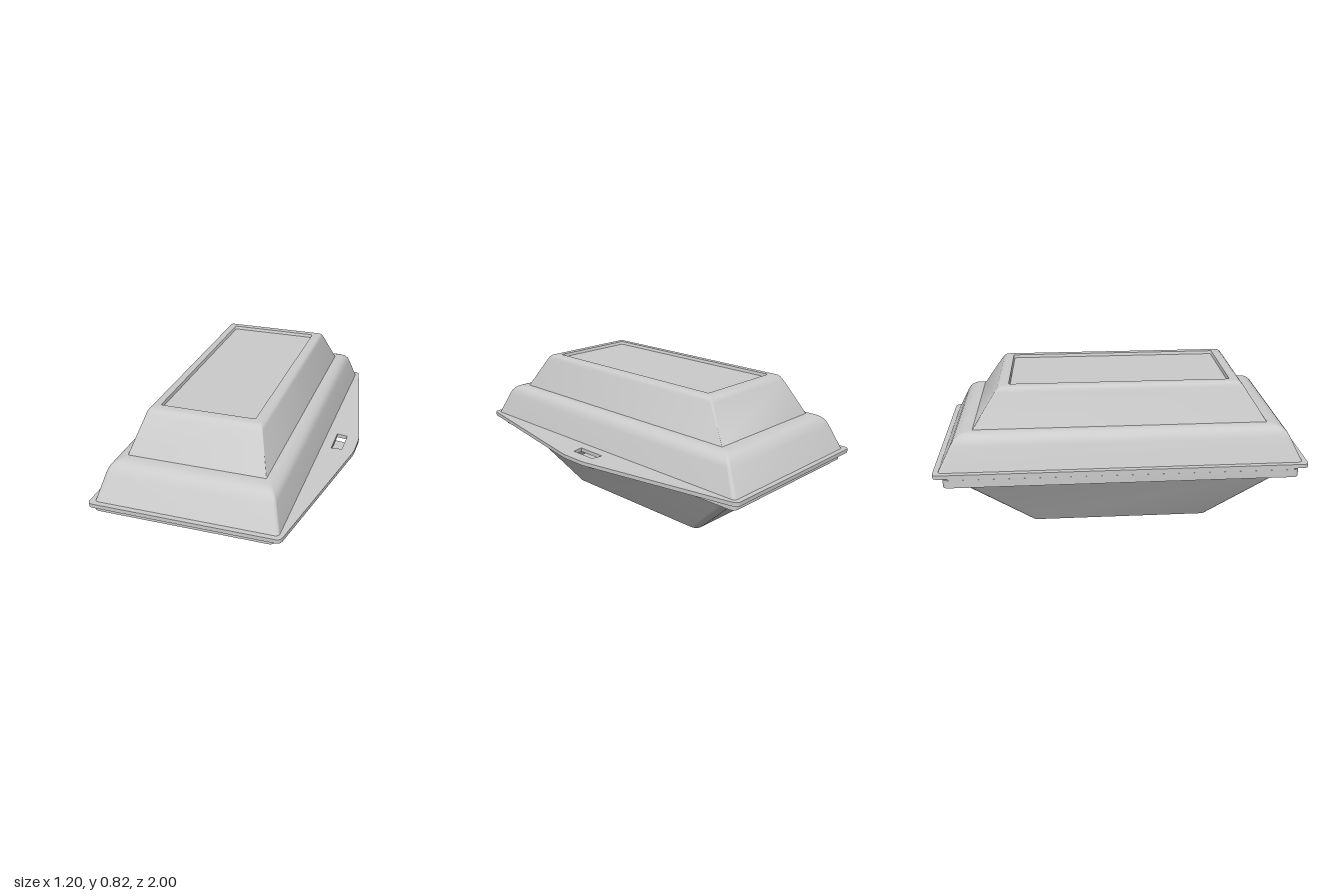
import * as THREE from 'three';
import { toCreasedNormals } from 'three/addons/utils/BufferGeometryUtils.js';

const material = new THREE.MeshStandardMaterial({ color: 0xcccccc, side: THREE.DoubleSide });

// One rounded-rectangle ring of points, counter-clockwise seen from above
function ring([y, x0, x1, hz, r], steps = 6) {
  const pts = [];
  const corners = [[x1 - r, -hz + r], [x0 + r, -hz + r], [x0 + r, hz - r], [x1 - r, hz - r]];
  corners.forEach(([cx, cz], c) => {
    for (let i = 0; i <= steps; i++) {
      const a = (c + i / steps) * Math.PI / 2;
      pts.push([cx + r * Math.cos(a), y, cz - r * Math.sin(a)]);
    }
  });
  return pts;
}

// Closed skin over sections [y, xMin, xMax, halfDepth, cornerRadius], bottom to top
function loft(sections) {
  const rings = sections.map(s => ring(s));
  const n = rings[0].length;
  const index = [];
  rings.slice(1).forEach((_, k) => {
    for (let i = 0; i < n; i++) {
      const j = (i + 1) % n, a = k * n, b = a + n;
      index.push(a + i, a + j, b + j, a + i, b + j, b + i);
    }
  });
  const last = (rings.length - 1) * n;
  for (let i = 1; i < n - 1; i++) {
    index.push(0, i + 1, i, last, last + i, last + i + 1);
  }
  const geo = new THREE.BufferGeometry();
  geo.setAttribute('position', new THREE.Float32BufferAttribute(rings.flat(2), 3));
  geo.setIndex(index);
  return toCreasedNormals(geo, 0.6);
}

function add(parent, name, geo) {
  const mesh = new THREE.Mesh(geo, material);
  mesh.name = name;
  parent.add(mesh);
  return mesh;
}

export function createModel() {
  const model = new THREE.Group();
  model.name = 'takeawayBox';

  // Tapered tray
  add(model, 'tray', loft([
    [0, -0.355, 0.14, 0.51, 0.04],
    [0.35, -0.543, 0.327, 0.897, 0.05],
  ]));
  add(model, 'trayRim', loft([
    [0.345, -0.598, 0.38, 0.95, 0.03],
    [0.39, -0.598, 0.38, 0.95, 0.03],
  ]));

  // Locking tab, narrowing slightly toward its tip
  const tab = new THREE.BoxGeometry(0.16, 0.04, 0.17);
  const p = tab.attributes.position;
  for (let i = 0; i < p.count; i++) {
    if (p.getX(i) > 0) {
      p.setZ(i, p.getZ(i) * 0.82);
      p.setY(i, p.getY(i) * 0.8);
    }
  }
  tab.computeVertexNormals();
  add(model, 'lockingTab', tab).position.set(0.437, 0.366, 0);

  // Hinge strip joining tray and lid
  add(model, 'hinge', new THREE.BoxGeometry(0.015, 0.03, 1.84)).position.set(-0.59, 0.395, 0);

  // Lid flange with pointed ear and slot
  const flange = new THREE.Shape();
  const r = 0.03;
  flange.moveTo(-0.6 + r, -1);
  flange.lineTo(0.43 - r, -1);
  flange.quadraticCurveTo(0.425, -1, 0.43, -0.965);
  flange.lineTo(0.592, -0.11);
  flange.quadraticCurveTo(0.598, -0.08, 0.598, -0.05);
  flange.lineTo(0.598, 0.05);
  flange.quadraticCurveTo(0.598, 0.08, 0.592, 0.11);
  flange.lineTo(0.43, 0.965);
  flange.quadraticCurveTo(0.425, 1, 0.43 - r, 1);
  flange.lineTo(-0.6 + r, 1);
  flange.quadraticCurveTo(-0.6, 1, -0.6, 1 - r);
  flange.lineTo(-0.6, -1 + r);
  flange.quadraticCurveTo(-0.6, -1, -0.6 + r, -1);
  flange.holes.push(new THREE.Path([
    [0.465, -0.085], [0.465, 0.09], [0.527, 0.08], [0.527, -0.075],
  ].map(([x, y]) => new THREE.Vector2(x, y))));
  const flangeGeo = new THREE.ExtrudeGeometry(flange, { depth: 0.022, bevelEnabled: false, curveSegments: 6 });
  flangeGeo.rotateX(-Math.PI / 2);
  add(model, 'lidFlange', flangeGeo).position.y = 0.398;

  // Lower lid tier with a rounded shoulder
  add(model, 'lidLowerTier', loft([
    [0.41, -0.575, 0.411, 0.977, 0.02],
    [0.55, -0.535, 0.371, 0.905, 0.02],
    [0.575, -0.526, 0.362, 0.89, 0.02],
    [0.592, -0.514, 0.35, 0.874, 0.02],
    [0.604, -0.498, 0.334, 0.855, 0.02],
    [0.611, -0.48, 0.316, 0.832, 0.018],
    [0.613, -0.455, 0.29, 0.79, 0.01],
  ]));

  // Upper lid tier with a shallow recess in its top
  add(model, 'lidUpperTier', loft([
    [0.611, -0.457, 0.291, 0.792, 0.006],
    [0.795, -0.4, 0.232, 0.668, 0.012],
    [0.812, -0.394, 0.226, 0.655, 0.014],
    [0.821, -0.386, 0.218, 0.643, 0.014],
    [0.825, -0.374, 0.206, 0.63, 0.012],
    [0.825, -0.343, 0.172, 0.595, 0.008],
    [0.808, -0.339, 0.168, 0.59, 0.008],
  ]));

  return model;
}
